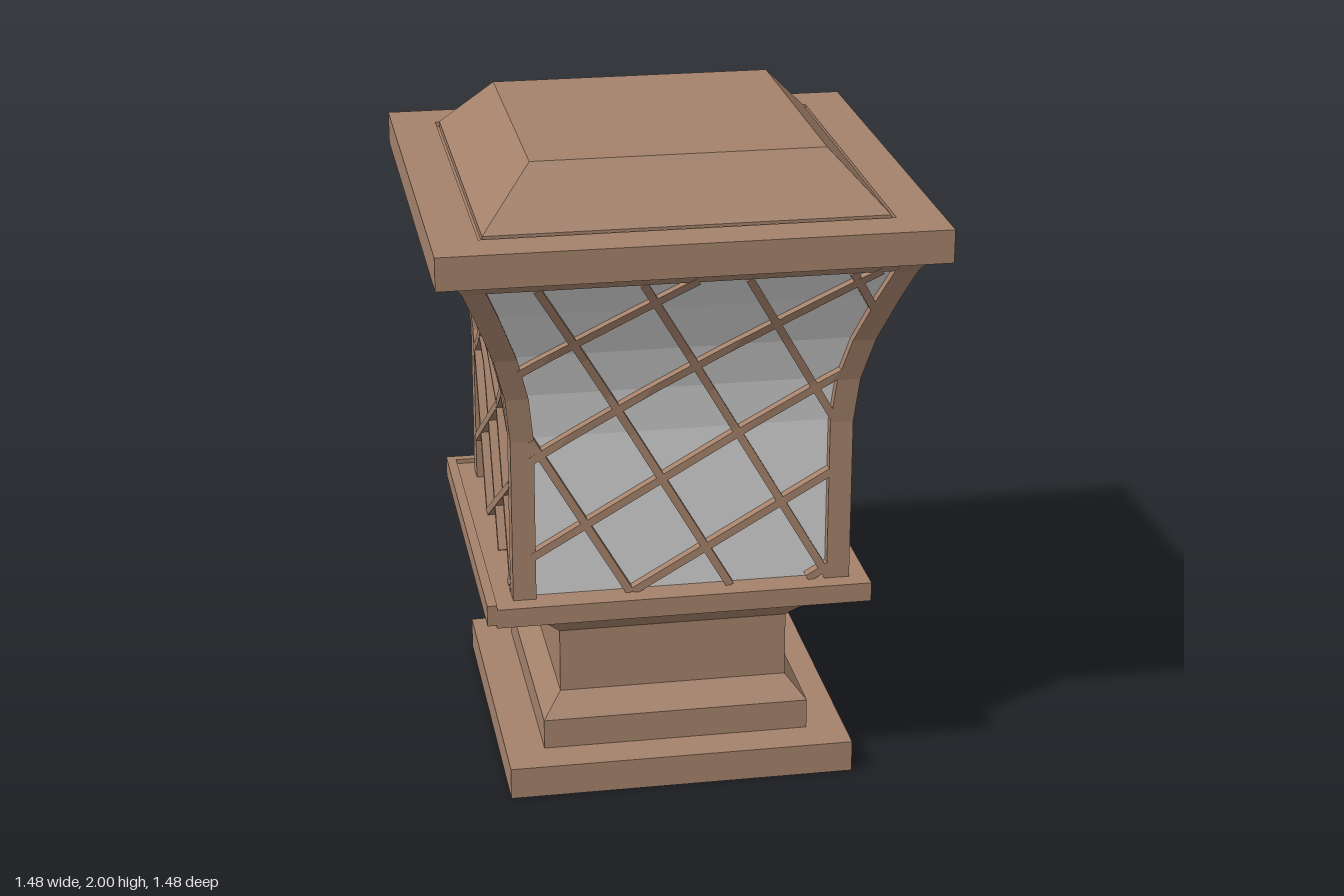
import * as THREE from 'three';

const brown = new THREE.MeshStandardMaterial({ color: 0xa5826b });
brown.name = 'brown';
const glass = new THREE.MeshStandardMaterial({ color: 0xd4d4d4 });
glass.name = 'frosted glass';

// Half-width of the lantern body at each height
const flare = [
  [0.515, 0.66], [0.515, 1.17], [0.53, 1.31], [0.565, 1.445],
  [0.62, 1.59], [0.66, 1.685], [0.69, 1.73],
];

function halfWidth(y) {
  for (let i = 1; i < flare.length; i++) {
    const [w0, y0] = flare[i - 1], [w1, y1] = flare[i];
    if (y <= y1) return w0 + (w1 - w0) * Math.max(0, (y - y0) / (y1 - y0));
  }
  return flare[flare.length - 1][0];
}

function flatMesh(name, geometry, material) {
  const g = geometry.index ? geometry.toNonIndexed() : geometry;
  g.computeVertexNormals();
  const mesh = new THREE.Mesh(g, material);
  mesh.name = name;
  return mesh;
}

// Square moulding: a four-sided lathe through [half-width, height] points
function squareLathe(name, profile, material) {
  const points = profile.map(([w, y]) => new THREE.Vector2(w * Math.SQRT2, y));
  return flatMesh(name, new THREE.LatheGeometry(points, 4, Math.PI / 4), material);
}

// Corner post that follows the flare
function postGeometry() {
  const t = 0.07, n = flare.length - 1;
  const g = new THREE.BoxGeometry(t, 1, t, 1, n, 1);
  const p = g.attributes.position;
  for (let i = 0; i < p.count; i++) {
    const [w, y] = flare[Math.round((p.getY(i) + 0.5) * n)];
    p.setXYZ(i, w - t / 2 + p.getX(i), y, w - t / 2 + p.getZ(i));
  }
  return g;
}

// Lattice bar through (x, y) at an angle, trimmed to the pane and bent over its curve
function barGeometry(x, y, angle) {
  const c = Math.cos(angle), s = Math.sin(angle);
  let start = null, end = null;
  for (let t = -2; t <= 2; t += 0.005) {
    const px = x + c * t, py = y + s * t;
    if (py < 0.66 || py > 1.69 || Math.abs(px) > halfWidth(py) - 0.06) continue;
    if (start === null) start = t;
    end = t;
  }
  if (start === null || end - start < 0.08) return null;
  const mid = (start + end) / 2;
  const g = new THREE.BoxGeometry(end - start, 0.024, 0.03, 16, 1, 1);
  g.rotateZ(angle).translate(x + c * mid, y + s * mid, 0);
  const p = g.attributes.position;
  for (let i = 0; i < p.count; i++) {
    p.setZ(i, p.getZ(i) + halfWidth(p.getY(i)) - 0.014);
  }
  return g;
}

export function createModel() {
  const model = new THREE.Group();
  model.name = 'postLantern';

  // Stepped pedestal and tray
  model.add(squareLathe('pedestal', [
    [0, 0], [0.535, 0], [0.535, 0.1], [0.415, 0.1], [0.415, 0.195], [0.355, 0.265],
    [0.355, 0.47], [0.42, 0.54], [0.425, 0.6], [0, 0.6],
  ], brown));
  model.add(squareLathe('tray', [[0, 0.6], [0.572, 0.6], [0.572, 0.66], [0, 0.66]], brown));

  // Raised lips on the back and right edges of the tray
  const backLip = flatMesh('backLip', new THREE.BoxGeometry(1.172, 0.065, 0.03), brown);
  backLip.position.set(-0.014, 0.642, -0.585);
  const rightLip = flatMesh('rightLip', new THREE.BoxGeometry(0.03, 0.065, 1.172), brown);
  rightLip.position.set(-0.585, 0.642, -0.014);
  model.add(backLip, rightLip);

  // Glass shell, top rail and cap
  model.add(squareLathe('glassShell', flare.map(([w, y]) => [w - 0.03, y]), glass));
  model.add(squareLathe('topRail', [[0, 1.687], [0.66, 1.687], [0.69, 1.73], [0, 1.73]], brown));
  model.add(squareLathe('cap', [
    [0, 1.73], [0.742, 1.73], [0.742, 1.83], [0.604, 1.83], [0.604, 1.815],
    [0.592, 1.815], [0.592, 1.835], [0.435, 2], [0, 2],
  ], brown));

  // Slanted grid of bars, repeated on all four sides with the posts
  const bars = [];
  for (let k = -1; k < 5; k++) {
    bars.push(barGeometry(-0.16 + 0.306 * k, 0.66, -Math.PI / 3));
    bars.push(barGeometry(0, 0.75 + 0.31 * k, Math.PI / 6));
  }
  const post = postGeometry();
  for (let side = 0; side < 4; side++) {
    const group = new THREE.Group();
    group.name = 'side' + (side + 1);
    group.add(flatMesh('cornerPost', post, brown));
    bars.filter(Boolean).forEach((g) => group.add(flatMesh('latticeBar', g, brown)));
    group.rotation.y = side * Math.PI / 2;
    model.add(group);
  }
  return model;
}
